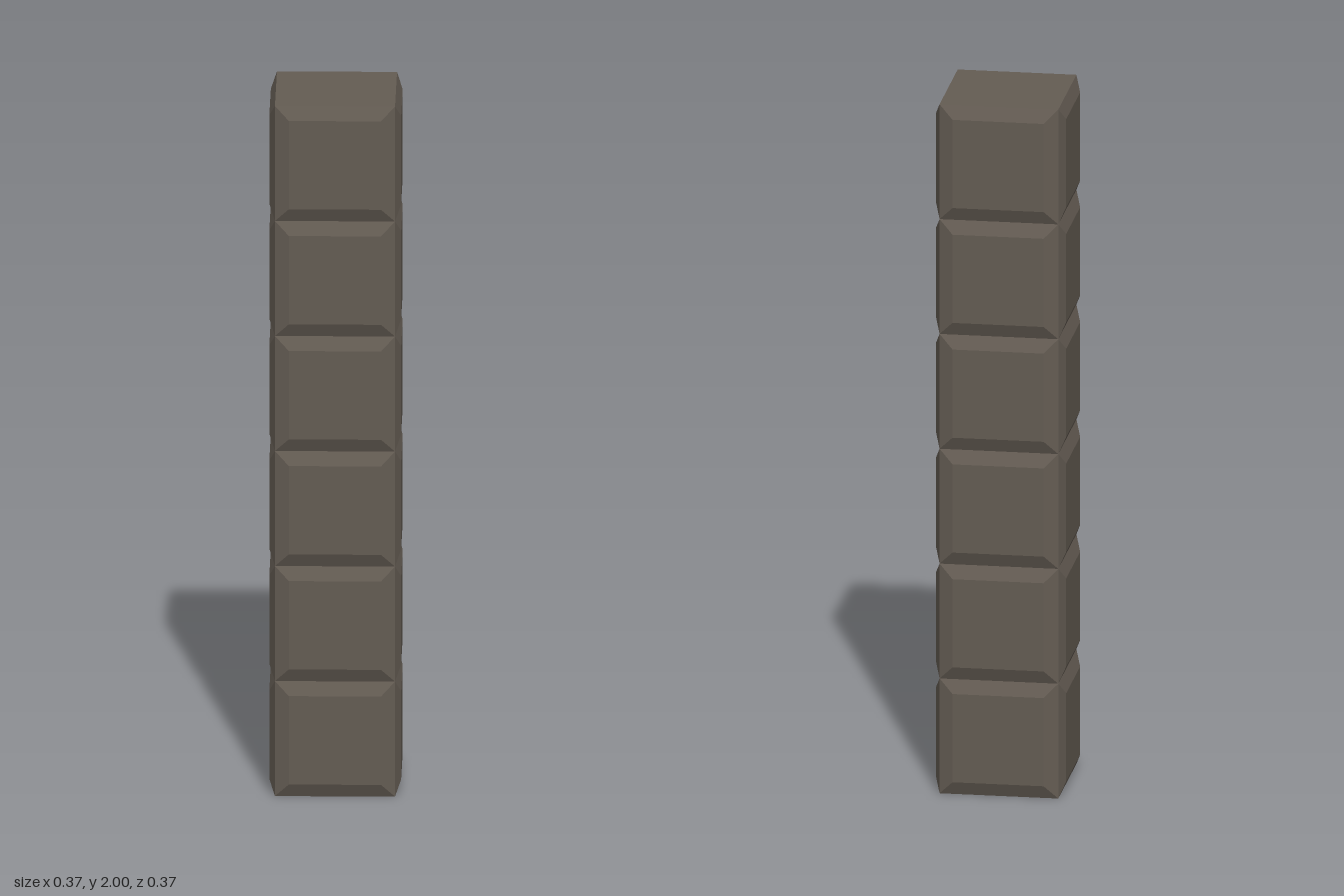
import * as THREE from 'three';
import { ConvexGeometry } from 'three/addons/geometries/ConvexGeometry.js';

const COUNT = 6;
const HALF = 1 / COUNT;      // half the block size
const PANEL = 0.128;         // half width of the raised side panels
const BULGE = 0.183;         // distance of the panels from the axis

// Cube whose four sides swell into bevelled panels; top and bottom stay flat
function blockGeometry() {
  const points = [];
  for (const a of [-1, 1]) for (const b of [-1, 1]) for (const c of [-1, 1]) {
    points.push(
      new THREE.Vector3(a * HALF, b * HALF, c * HALF),
      new THREE.Vector3(a * BULGE, b * PANEL, c * PANEL),
      new THREE.Vector3(a * PANEL, b * PANEL, c * BULGE)
    );
  }
  return new ConvexGeometry(points);
}

export function createModel() {
  const model = new THREE.Group();
  model.name = 'stonePillar';
  const stone = new THREE.MeshStandardMaterial({ color: 0x645c53 });
  stone.name = 'brownStone';

  // Stack of equal blocks
  const geometry = blockGeometry();
  for (let i = 0; i < COUNT; i++) {
    const block = new THREE.Mesh(geometry, stone);
    block.name = `block${i + 1}`;
    block.position.y = HALF * (2 * i + 1);
    model.add(block);
  }
  return model;
}
